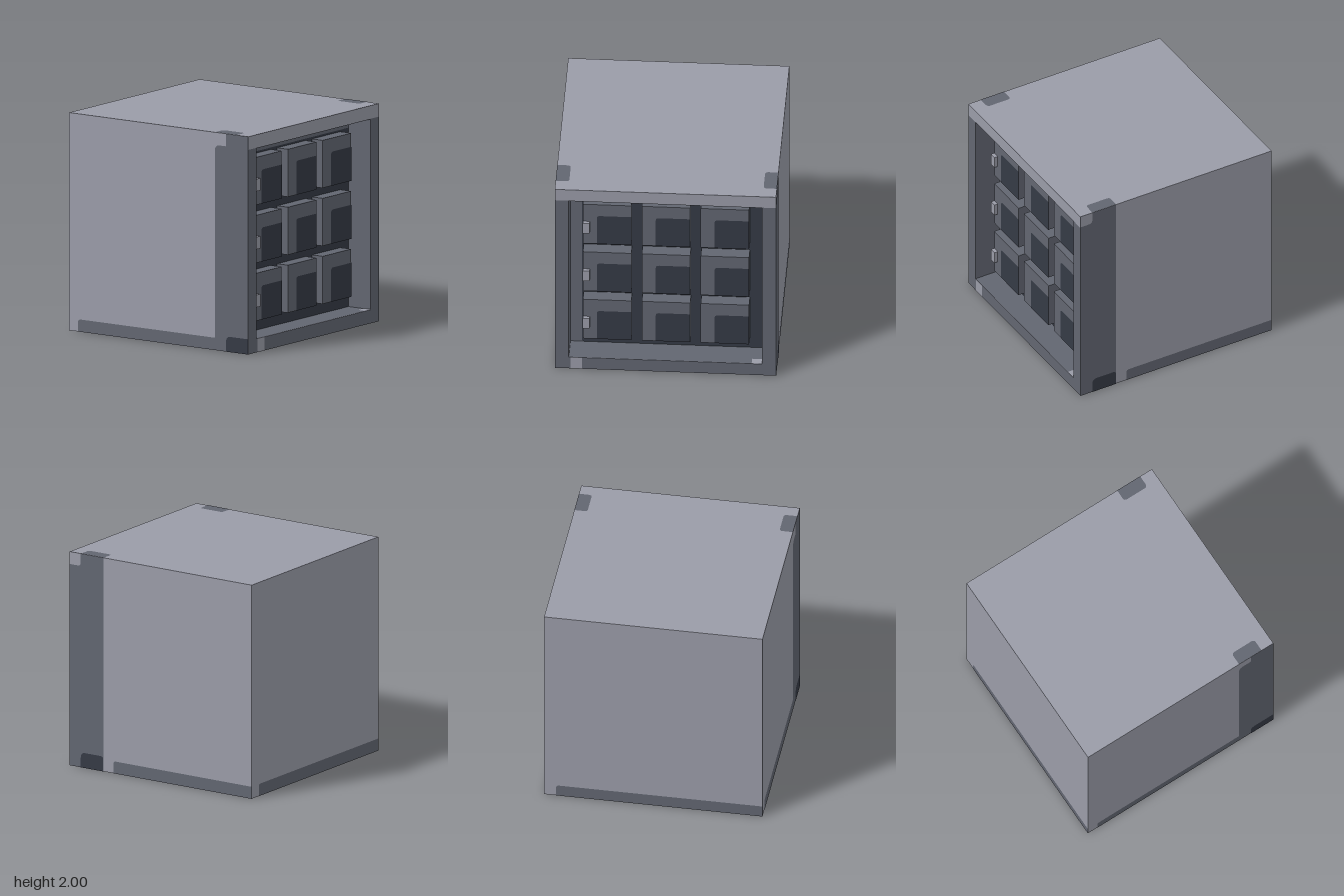
import * as THREE from 'three';

const material = (name, color) => {
  const m = new THREE.MeshStandardMaterial({ color });
  m.name = name;
  return m;
};

// Rectangle outline; r gives the corner radii in the order bottom left, bottom right, top right, top left
function rectangle(x0, x1, y0, y1, r = [0, 0, 0, 0], Type = THREE.Shape) {
  const s = new Type();
  const [a, b, c, d] = r;
  s.moveTo(x0 + a, y0);
  s.lineTo(x1 - b, y0);
  if (b) s.quadraticCurveTo(x1, y0, x1, y0 + b);
  s.lineTo(x1, y1 - c);
  if (c) s.quadraticCurveTo(x1, y1, x1 - c, y1);
  s.lineTo(x0 + d, y1);
  if (d) s.quadraticCurveTo(x0, y1, x0, y1 - d);
  s.lineTo(x0, y0 + a);
  if (a) s.quadraticCurveTo(x0, y0, x0 + a, y0);
  return s;
}

export function createModel() {
  const light = material('light grey', 0x9a9ca8);
  const mid = material('mid grey', 0x626671);
  const dark = material('dark slate', 0x353a45);
  const model = new THREE.Group();
  model.name = 'compartmentCube';

  const add = (name, geometry, mat, parent = model) => {
    const mesh = new THREE.Mesh(geometry, mat);
    mesh.name = name;
    parent.add(mesh);
    return mesh;
  };
  const box = (name, mat, x0, x1, y0, y1, z0, z1, parent) =>
    add(name, new THREE.BoxGeometry(x1 - x0, y1 - y0, z1 - z0)
      .translate((x0 + x1) / 2, (y0 + y1) / 2, (z0 + z1) / 2), mat, parent);

  // Painted face: u, v lie in the plane, at is the distance along its outward normal
  const H = Math.PI / 2;
  const turns = {
    front: [0, 0], back: [0, 2 * H], plusX: [0, H], minusX: [0, -H], up: [-H, 0], down: [H, 0],
  };
  const paint = (name, mat, face, u0, u1, v0, v1, at, r, parent) => {
    const g = new THREE.ShapeGeometry(rectangle(u0, u1, v0, v1, r), 4).translate(0, 0, at);
    g.rotateX(turns[face][0]).rotateY(turns[face][1]);
    return add(name, g, mat, parent);
  };
  const R = 0.03, L1 = 0.002, L2 = 0.004;

  // Body and front frame around the recess
  box('body', light, -1, 1, 0, 2, -1, 0.75);
  const outline = rectangle(-1, 1, 0, 2);
  outline.holes.push(rectangle(-0.875, 0.875, 0.125, 1.875, undefined, THREE.Path));
  add('frontFrame', new THREE.ExtrudeGeometry(outline, { depth: 0.25, bevelEnabled: false })
    .translate(0, 0, 0.75), [mid, light]);
  paint('frameTopBand', light, 'front', -1, 1, 1.88, 2, 1 + L1);
  paint('frameFootMark', light, 'front', -0.86, -0.755, 0, 0.125, 1 + L1);

  // Recess lining
  paint('recessFloor', mid, 'up', -0.875, 0.875, -1, -0.75, 0.125 + L1);
  paint('recessCeiling', mid, 'down', -0.875, 0.875, 0.75, 1, -1.875 + L1);
  paint('recessRightWall', mid, 'plusX', -1, -0.75, 0.125, 1.875, -0.875 + L1);
  paint('recessLeftWall', mid, 'minusX', 0.75, 1, 0.125, 1.875, -0.875 + L1);
  paint('recessBack', mid, 'front', -0.875, 0.875, 0.125, 1.875, 0.75 + L1);
  paint('recessGaps', dark, 'front', -0.77, 0.875, 0.125, 1.77, 0.75 + L2, [R, 0, 0, R]);
  paint('floorMark', light, 'up', 0.78, 0.875, -1, -0.93, 0.125 + L2);

  // Three by three doors, each with a dark panel; the first column carries handles
  const size = 0.4375, pitch = 0.5325;
  for (let row = 0; row < 3; row++) {
    for (let col = 0; col < 3; col++) {
      const x = -0.753 + col * pitch, y = 0.25 + row * pitch;
      const door = new THREE.Group();
      door.name = `door_${row}_${col}`;
      model.add(door);
      box('doorBlock', mid, x, x + size, y, y + size, 0.75, 0.875, door);
      paint('doorPanel', dark, 'front', x + 0.125, x + size, y, y + 0.3125, 0.875 + L1,
        [0, 0, 0, R], door);
      if (col === 0) box('handle', light, x, x + 0.062, y + 0.135, y + 0.248, 0.87, 0.91, door);
    }
  }

  // Painted trim on the +x side
  paint('leftFrontStrip', mid, 'plusX', -1, -0.63, 0, 2, 1 + L1);
  paint('leftTopCorner', light, 'plusX', -1, -0.877, 1.885, 2, 1 + L2, [0, R, 0, 0]);
  paint('leftFootMark', dark, 'plusX', -0.877, -0.63, 0, 0.14, 1 + L2, [0, 0, R, 0.05]);
  paint('leftBaseBand', mid, 'plusX', -0.52, 1, 0, 0.113, 1 + L1, [0, 0, 0, R]);

  // Painted trim on the -x side
  paint('rightFrontStrip', mid, 'minusX', 0.63, 1, 0, 1.885, 1 + L1, [0, 0, 0, 0.05]);
  paint('rightStripTop', mid, 'minusX', 0.755, 1, 1.885, 2, 1 + L1);
  paint('rightFootMark', dark, 'minusX', 0.755, 1, 0, 0.14, 1 + L2, [0, 0, 0, 0.05]);
  paint('rightBaseBand', mid, 'minusX', -0.9, 0.63, 0, 0.113, 1 + L1, [0, 0, 0, R]);

  // Painted trim on the back, top and bottom
  paint('backBaseBand', mid, 'back', -0.89, 1, 0, 0.113, 1 + L1, [0, 0, 0, R]);
  paint('topMarkRight', mid, 'up', -1, -0.877, -0.873, -0.63, 2 + L1, [0, R, R, 0]);
  paint('topMarkLeft', mid, 'up', 0.88, 1, -0.873, -0.625, 2 + L1, [R, 0, 0, R]);
  paint('bottomFrontStrip', mid, 'down', -1, 1, 0.755, 1, L1);
  paint('bottomStripStep', mid, 'down', -0.87, 0.755, 0.63, 0.755, L1, [R, R, 0, 0]);

  return model;
}
